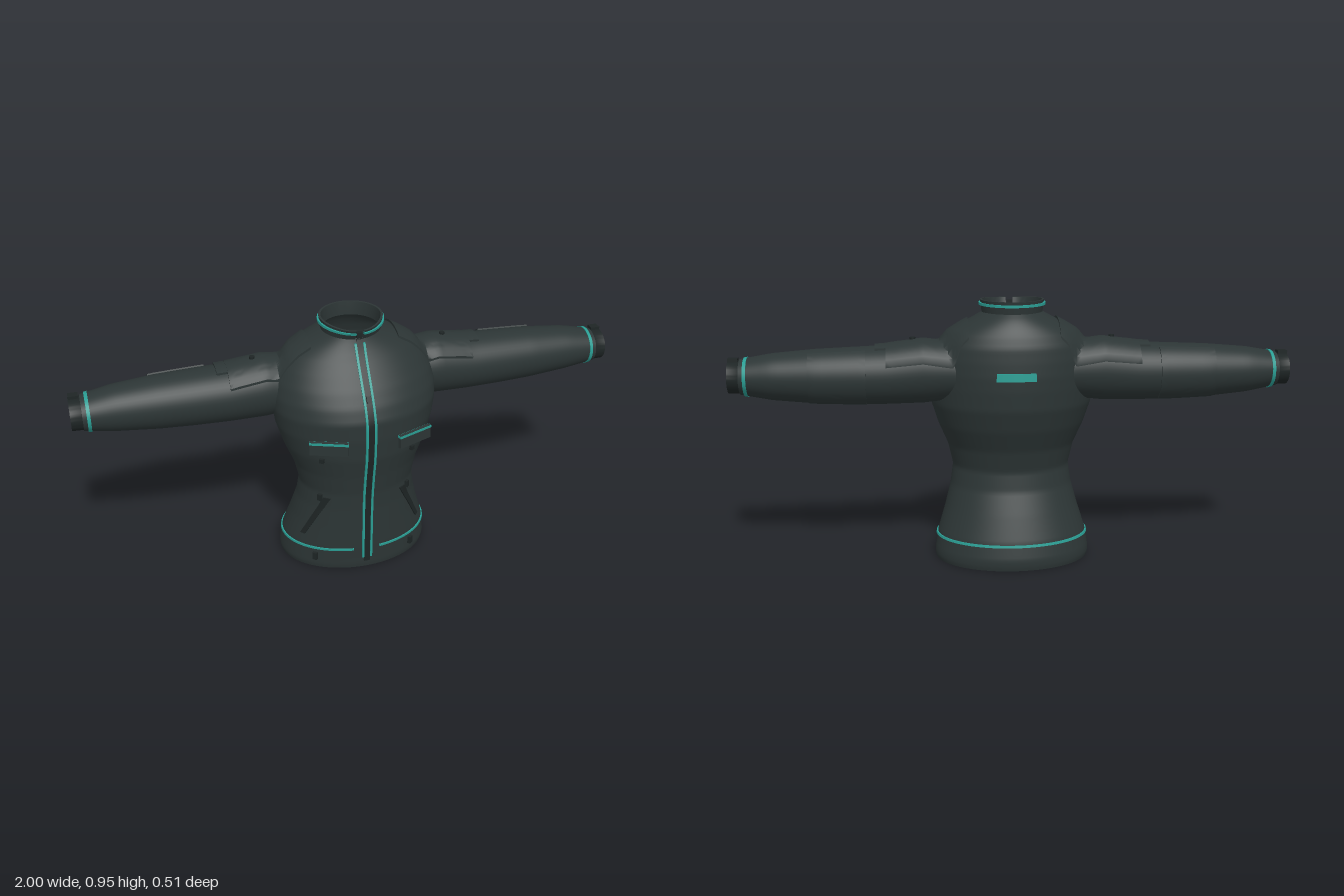
import * as THREE from 'three';
import { mergeVertices, toCreasedNormals } from 'three/addons/utils/BufferGeometryUtils.js';

const mat = (name, color) => new THREE.MeshStandardMaterial({ name, color, side: THREE.DoubleSide });
const { lerp, degToRad } = THREE.MathUtils;

// Torso sections: y, half width, front z, back z
const TORSO = [
  [0, 0.28, 0.158, -0.25], [0.015, 0.285, 0.161, -0.254], [0.04, 0.283, 0.162, -0.254], [0.1, 0.273, 0.165, -0.24],
  [0.19, 0.245, 0.168, -0.205], [0.27, 0.224, 0.17, -0.172], [0.34, 0.214, 0.175, -0.16], [0.42, 0.232, 0.188, -0.18],
  [0.5, 0.266, 0.204, -0.215], [0.58, 0.291, 0.21, -0.239], [0.65, 0.301, 0.209, -0.244], [0.7, 0.302, 0.188, -0.244],
  [0.75, 0.292, 0.157, -0.24], [0.8, 0.268, 0.121, -0.234], [0.84, 0.235, 0.092, -0.219], [0.87, 0.186, 0.073, -0.203],
  [0.895, 0.138, 0.06, -0.184], [0.912, 0.107, 0.053, -0.165],
];
// Sleeve sections: x, top y, bottom y, front z, back z
const SLEEVE = [
  [0.2, 0.8, 0.605, 0.015, -0.185], [0.32, 0.815, 0.592, 0.025, -0.19], [0.45, 0.799, 0.59, 0.021, -0.19],
  [0.58, 0.794, 0.592, 0.016, -0.188], [0.7, 0.789, 0.597, 0.011, -0.184], [0.85, 0.776, 0.611, 0, -0.169],
  [0.96, 0.756, 0.631, -0.009, -0.149],
];

function section(table, t) {
  let i = 1;
  while (i < table.length - 1 && table[i][0] < t) i++;
  const a = table[i - 1], b = table[i];
  const k = THREE.MathUtils.clamp((t - a[0]) / (b[0] - a[0]), 0, 1);
  return a.map((v, j) => lerp(v, b[j], k));
}

function torsoPoint(a, y, o = 0) {
  const [, w, f, b] = section(TORSO, y);
  return [(w + o) * Math.sin(a), y, (f + b) / 2 + ((f - b) / 2 + o) * Math.cos(a)];
}

function sleevePoint(a, x, o = 0) {
  const [, t, b, f, k] = section(SLEEVE, x);
  return [x, (t + b) / 2 + ((t - b) / 2 + o) * Math.cos(a), (f + k) / 2 + ((f - k) / 2 + o) * Math.sin(a)];
}

// Angle on the torso for a given x or z at height y
const angleAtX = (x, y) => Math.asin(x / section(TORSO, y)[1]);
function angleAtZ(z, y) {
  const [, , f, b] = section(TORSO, y);
  return Math.acos((z - (f + b) / 2) / ((f - b) / 2));
}

// Height of the shoulder surface above a point
function topY(x, z) {
  for (let y = 0.91; y > 0.6; y -= 0.001) {
    const [, w, f, b] = section(TORSO, y);
    if ((x / w) ** 2 + ((z - (f + b) / 2) / ((f - b) / 2)) ** 2 < 1) return y;
    const [, t, u, sf, sb] = section(SLEEVE, x);
    if (x > 0.2 && ((y - (t + u) / 2) / ((t - u) / 2)) ** 2 + ((z - (sf + sb) / 2) / ((sf - sb) / 2)) ** 2 < 1) return y;
  }
  return 0.6;
}

// Grid surface through fn(i, j); cells can be left out
function grid(nu, nv, fn, skip) {
  const pos = [], idx = [];
  for (let j = 0; j <= nv; j++) for (let i = 0; i <= nu; i++) pos.push(...fn(i, j));
  for (let j = 0; j < nv; j++) for (let i = 0; i < nu; i++) {
    const a = j * (nu + 1) + i, c = a + nu + 1;
    if (skip && skip(...[0, 1, 2].map(k => (pos[a * 3 + k] + pos[(c + 1) * 3 + k]) / 2))) continue;
    idx.push(a, a + 1, c + 1, a, c + 1, c);
  }
  const g = new THREE.BufferGeometry();
  g.setAttribute('position', new THREE.Float32BufferAttribute(pos, 3));
  g.setIndex(idx);
  const m = mergeVertices(g, 1e-5);
  m.computeVertexNormals();
  return m;
}

// Raised panel: fn(u, v, offset) with its rim tucked into the surface below
function panel(nu, nv, h, fn) {
  const at = (i, n) => THREE.MathUtils.clamp((i - 1) / n, 0, 1);
  return toCreasedNormals(grid(nu + 2, nv + 2, (i, j) => {
    const rim = i === 0 || j === 0 || i === nu + 2 || j === nv + 2;
    return fn(at(i, nu), at(j, nv), rim ? -0.003 : h);
  }), 0.6);
}

export function createModel() {
  const fabric = mat('fabric', 0x2c3535);
  const trim = mat('darkTrim', 0x1e2525);
  const teal = mat('tealPiping', 0x2a9d93);
  const root = new THREE.Group();
  root.name = 'jacket';
  const add = (parent, name, geo, m) => {
    const mesh = new THREE.Mesh(geo, m);
    mesh.name = name;
    parent.add(mesh);
    return mesh;
  };
  const box = (parent, name, size, p, m, ry = 0) => {
    const b = add(parent, name, new THREE.BoxGeometry(...size), m);
    b.position.set(...p);
    b.rotation.y = ry;
    return b;
  };

  // Hollow torso with armholes
  add(root, 'torso', grid(96, 92, (i, j) => torsoPoint(i / 96 * Math.PI * 2, j / 92 * 0.912),
    (x, y, z) => Math.abs(x) > 0.15 && Math.hypot(y - 0.7, z + 0.083) < 0.088), fabric);

  // Standing collar, open at the front
  const collarProfile = [[-0.002, 0.905], [0.001, 0.93], [0.004, 0.955], [-0.004, 0.955], [-0.007, 0.93], [-0.008, 0.905]];
  const collarPoint = (a, o, y) => {
    const flare = Math.max(0, Math.cos(a)) ** 2 * (y - 0.905) * 0.3;
    return [(0.11 + o) * Math.sin(a), y - flare * 0.6, -0.054 + (0.11 + o + flare) * Math.cos(a)];
  };
  const collarAngle = t => lerp(0.12, Math.PI * 2 - 0.12, t);
  add(root, 'collar', toCreasedNormals(grid(64, 5, (i, j) => collarPoint(collarAngle(i / 64), ...collarProfile[j])), 0.6), fabric);
  add(root, 'collarPiping', panel(64, 1, 0.009, (u, v, o) => collarPoint(collarAngle(u), o, lerp(0.936, 0.945, v))), teal);

  // Front zip with piping on each side
  const strip = (x0, x1, y0, y1, h) => panel(2, 40, h, (u, v, o) => {
    const y = lerp(y0, y1, v);
    return torsoPoint(angleAtX(lerp(x0, x1, u), y), y, o);
  });
  add(root, 'zip', strip(-0.011, 0.011, 0.03, 0.908, 0.005), trim);
  for (const s of [-1, 1]) add(root, 'zipPiping', strip(s * 0.015 - 0.004, s * 0.015 + 0.004, 0.05, 0.895, 0.008), teal);
  box(root, 'zipPull', [0.016, 0.025, 0.014], [0, 0.73, 0.175], trim).rotation.x = -0.5;
  box(root, 'collarPull', [0.02, 0.022, 0.014], [0, 0.925, 0.058], trim);

  // Hem stripe with a gap at the zip, and back strip
  add(root, 'hemPiping', panel(96, 1, 0.005, (u, v, o) =>
    torsoPoint(lerp(0.18, Math.PI * 2 - 0.18, u), lerp(0.086, 0.094, v), o)), teal);
  add(root, 'backStrip', panel(10, 1, 0.004, (u, v, o) =>
    torsoPoint(Math.PI + lerp(-0.23, 0.23, u), lerp(0.69, 0.718, v), o)), teal);

  for (const side of [1, -1]) {
    const half = new THREE.Group();
    half.name = side > 0 ? 'leftHalf' : 'rightHalf';
    half.scale.x = side;
    root.add(half);

    // Sleeve and open cuff
    add(half, 'sleeve', grid(48, 38, (i, j) => sleevePoint(i / 48 * Math.PI * 2, lerp(0.2, 0.96, j / 38))), fabric);
    const cuffProfile = [[-0.001, 0.957], [-0.004, 0.962], [-0.005, 1], [-0.01, 1], [-0.01, 0.957]];
    add(half, 'cuff', toCreasedNormals(grid(48, 4, (i, j) => {
      const [o, x] = cuffProfile[j], p = sleevePoint(i / 48 * Math.PI * 2, 0.96, o);
      return [x, p[1], p[2]];
    }), 0.6), trim);
    const sleevePatch = (x0, x1, a0, a1, h, n) => panel(n, 8, h, (u, v, o) =>
      sleevePoint(degToRad(lerp(a0, a1, u)), lerp(x0, x1, v), o));
    add(half, 'sleevePiping', sleevePatch(0.933, 0.945, 0, 360, 0.003, 48), teal);
    add(half, 'elbowPatch', sleevePatch(0.52, 0.72, -152, -27, 0.005, 20), fabric);
    box(half, 'cuffTab', [0.035, 0.012, 0.03], [0.981, 0.756, -0.09], trim);

    // Shoulder panel draped over the torso and sleeve
    const drape = (x0, x1, z0, z1, h, n) => panel(n, n, h, (u, v, o) => {
      const x = lerp(x0, x1, v), z = lerp(z0, z1, u);
      return [x, topY(x, z) + o, z];
    });
    add(half, 'shoulderPanel', drape(0.16, 0.45, -0.182, 0.008, 0.009, 20), fabric);
    add(half, 'shoulderTab', drape(0.45, 0.488, -0.13, -0.04, 0.008, 6), fabric);
    const stud = add(half, 'shoulderStud', new THREE.CylinderGeometry(0.01, 0.01, 0.012, 16), trim);
    stud.position.set(0.355, topY(0.355, -0.078) + 0.01, -0.078);

    // Chest pocket flap
    box(half, 'chestFlap', [0.136, 0.05, 0.013], [0.156, 0.585, 0.221], fabric, 0.367);
    box(half, 'flapPiping', [0.138, 0.009, 0.016], [0.156, 0.605, 0.221], teal, 0.367);

    // Slanted side pocket
    add(half, 'sidePocket', panel(2, 16, 0.004, (u, v, o) => {
      const y = lerp(0.14, 0.32, v);
      return torsoPoint(angleAtZ(lerp(0.072, 0.132, v) + lerp(-0.008, 0.008, u), y), y, o);
    }), trim);

    // Pocket studs, pulls and hem adjusters
    for (const [name, x, y, w, h] of [['chestStud', 0.165, 0.503, 0.016, 0.016],
      ['pocketPull', 0.163, 0.32, 0.016, 0.026], ['hemAdjuster', 0.185, 0.055, 0.018, 0.03]]) {
      const a = angleAtX(x, y);
      box(half, name, [w, h, 0.014], torsoPoint(a, y, 0.004), trim, a);
    }
  }
  return root;
}
